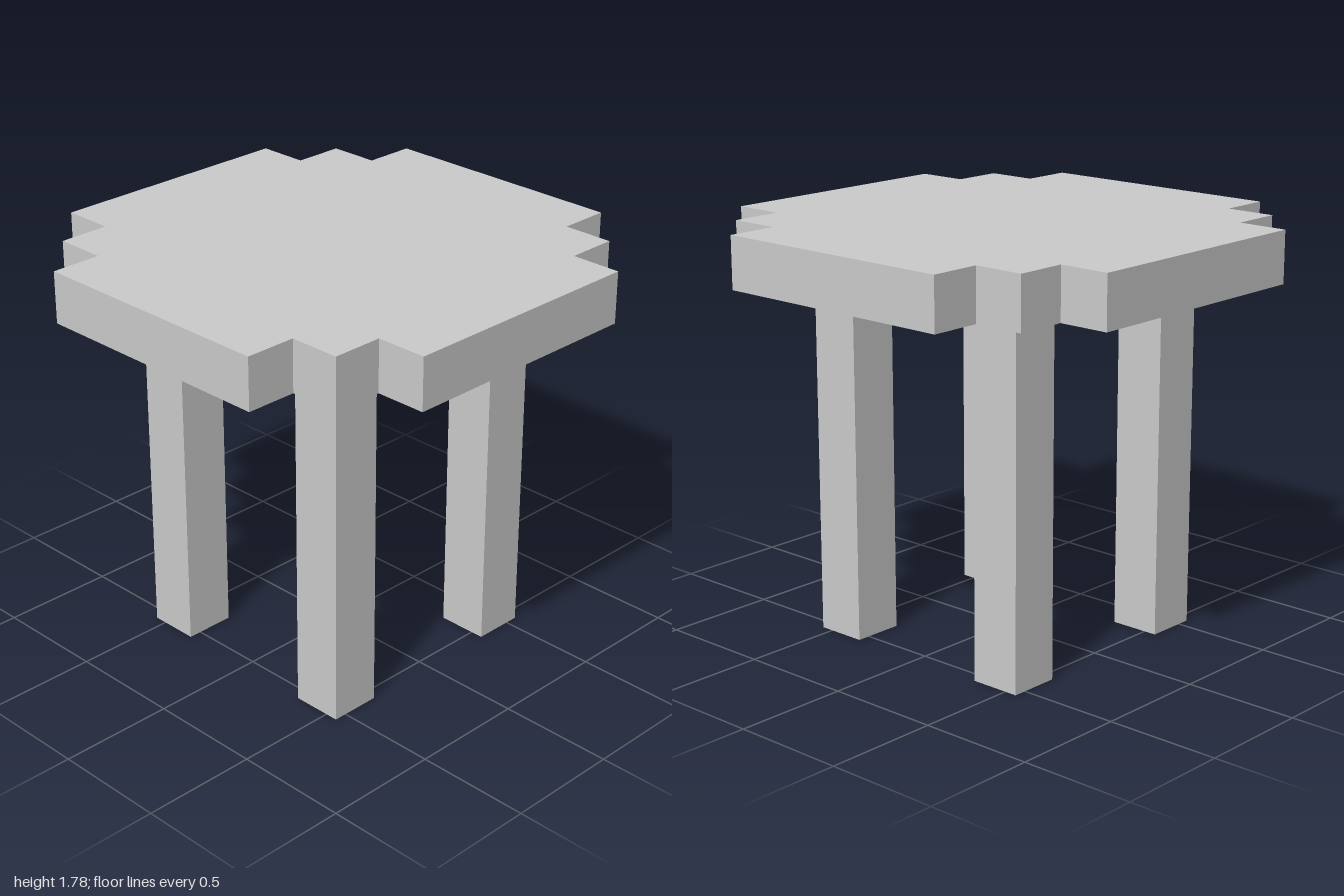
import * as THREE from 'three';

export function createModel() {
  const model = new THREE.Group();
  model.name = 'table';
  const material = new THREE.MeshStandardMaterial({ color: 0xcccccc, flatShading: true });

  const unit = 2 / 9; // leg width, top thickness and step size
  const legHeight = 7 * unit;

  // Stepped round top: one quarter's corners, turned four times
  const quarter = [[4.5, -2.5], [4.5, 2.5], [3.5, 2.5], [3.5, 3.5], [2.5, 3.5]];
  const outline = [];
  for (let i = 0; i < 4; i++) {
    for (const [x, y] of quarter) {
      outline.push(new THREE.Vector2(x, y).multiplyScalar(unit)
        .rotateAround(new THREE.Vector2(), i * Math.PI / 2));
    }
  }
  const topGeometry = new THREE.ExtrudeGeometry(new THREE.Shape(outline), { depth: unit, bevelEnabled: false });
  topGeometry.rotateX(-Math.PI / 2);
  const top = new THREE.Mesh(topGeometry, material);
  top.name = 'tableTop';
  top.position.y = legHeight;
  model.add(top);

  // Four square legs
  const legGeometry = new THREE.BoxGeometry(unit, legHeight, unit);
  for (const [sx, side] of [[1, 'Left'], [-1, 'Right']]) {
    for (const [sz, end] of [[1, 'front'], [-1, 'back']]) {
      const leg = new THREE.Mesh(legGeometry, material);
      leg.name = `${end}${side}Leg`;
      leg.position.set(sx * 2 * unit, legHeight / 2, sz * 2 * unit);
      model.add(leg);
    }
  }
  return model;
}
